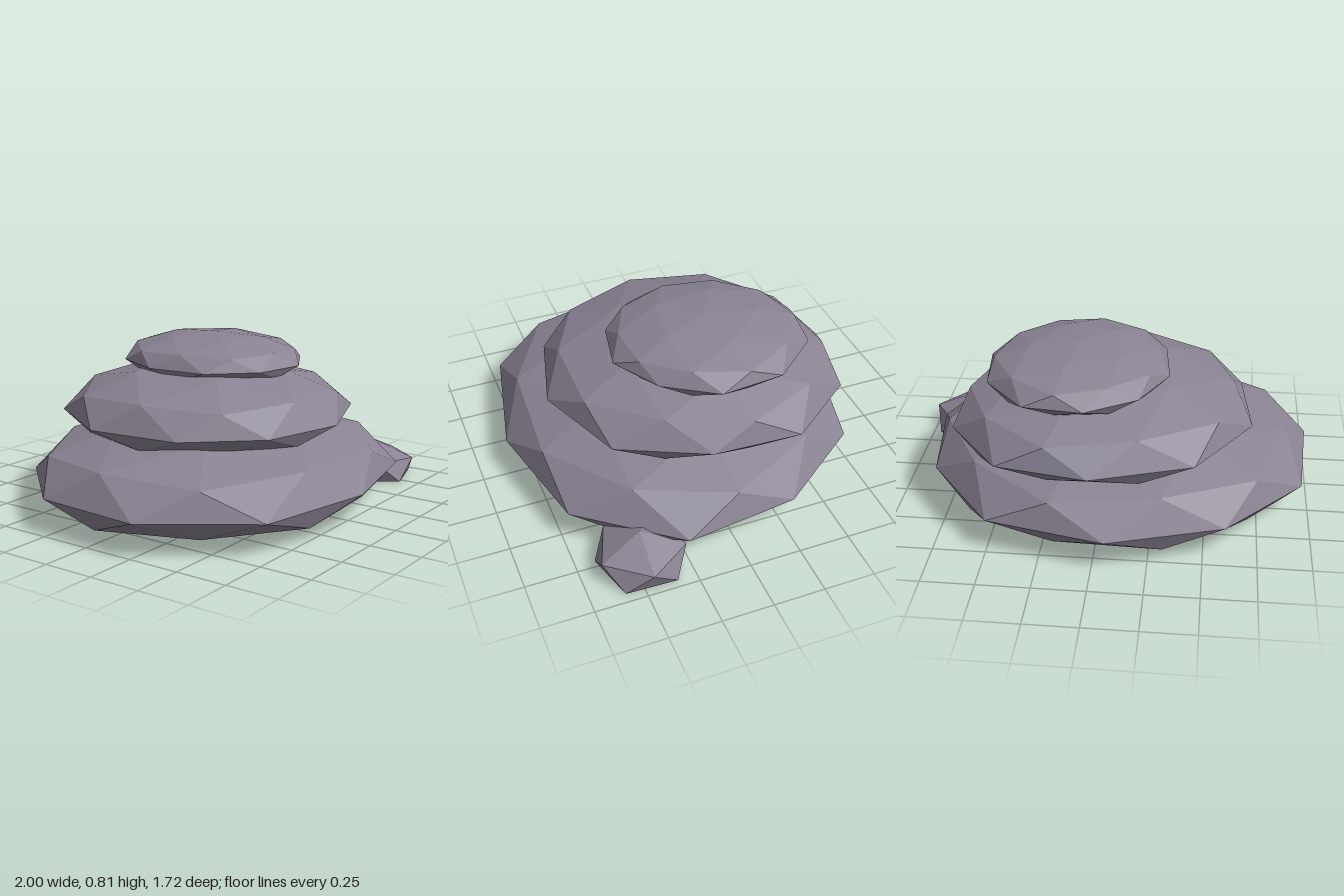
import * as THREE from 'three';

const stone = new THREE.MeshStandardMaterial({ color: 0x8a8393, flatShading: true });
stone.name = 'greyStone';

const V = (x, y, z) => new THREE.Vector3(x, y, z);

// Faceted mesh from a list of triangles
function facetMesh(name, triangles) {
  const geometry = new THREE.BufferGeometry().setFromPoints(triangles.flat());
  geometry.computeVertexNormals();
  const mesh = new THREE.Mesh(geometry, stone);
  mesh.name = name;
  return mesh;
}

// Flattened boulder: ten-point rim, two rings and a pole above, cut flat below
function slab(name, rim, rimY, height, bottomY) {
  const n = 10;
  const cx = rim.reduce((s, p) => s + p[0], 0) / n;
  const cz = rim.reduce((s, p) => s + p[1], 0) / n;
  // point on the spoke between rim points k-1 and k
  const spoke = (k, f, y) => {
    const a = rim[(k + n - 1) % n], b = rim[k % n];
    return V(cx + ((a[0] + b[0]) / 2 - cx) * f, y, cz + ((a[1] + b[1]) / 2 - cz) * f);
  };
  const eq = rim.map(([x, z]) => V(x, rimY, z));
  const up = rim.map((_, k) => spoke(k, k % 2 ? 0.9 : 0.945, rimY + height * (k % 2 ? 0.526 : 0.447)));
  const low = rim.map((_, k) => spoke(k, k % 2 ? 0.945 : 0.9, bottomY));
  const inner = [0, 1, 2, 3, 4].map(j => spoke(2 * j, 0.555, rimY + height * 0.85));
  const pole = V(cx, rimY + height, cz), base = V(cx, bottomY, cz);
  const tris = [];
  for (let j = 0; j < 5; j++) {
    const i = inner[j], next = inner[(j + 1) % 5], k = 2 * j;
    tris.push([pole, next, i], [i, next, up[k + 1]],
      [i, up[k + 1], up[k]], [i, up[k], up[(k + 9) % n]]);
  }
  for (let k = 0; k < n; k++) {
    const next = (k + 1) % n, prev = (k + 9) % n;
    tris.push([up[k], eq[k], eq[prev]], [up[k], up[next], eq[k]],
      [eq[prev], eq[k], low[k]], [eq[k], low[next], low[k]],
      [base, low[k], low[next]]);
  }
  return facetMesh(name, tris);
}

// Small five-sided pebble with a flat base
function pebble(name, cx, cz, r, ringY, topY) {
  const ring = (offset, y) => [0, 1, 2, 3, 4].map(i => {
    const a = (i * 72 + offset) * Math.PI / 180;
    return V(cx + r * Math.cos(a), y, cz + r * Math.sin(a));
  });
  const up = ring(2, ringY), low = ring(38, 0);
  const top = V(cx, topY, cz), base = V(cx, 0, cz);
  const tris = [];
  for (let i = 0; i < 5; i++) {
    const n = (i + 1) % 5, p = (i + 4) % 5;
    tris.push([top, up[n], up[i]], [up[i], up[n], low[i]],
      [up[i], low[i], low[p]], [base, low[i], low[n]]);
  }
  return facetMesh(name, tris);
}

export function createModel() {
  const group = new THREE.Group();
  group.name = 'stackedRocks';
  // Rims as [x, z], running from the +x side toward the front
  group.add(
    slab('bottomSlab', [[0.9, 0.26], [0.54, 0.72], [-0.06, 0.855], [-0.67, 0.73], [-1, 0.26],
      [-0.96, -0.29], [-0.6, -0.69], [-0.06, -0.86], [0.5, -0.73], [0.83, -0.29]], 0.16, 0.285, 0.058),
    slab('middleSlab', [[0.69, 0.06], [0.49, 0.48], [0.04, 0.655], [-0.38, 0.55], [-0.66, 0.24],
      [-0.71, -0.22], [-0.45, -0.63], [0.02, -0.79], [0.45, -0.71], [0.71, -0.37]], 0.44, 0.245, 0.367),
    slab('topSlab', [[0.57, -0.03], [0.41, 0.22], [0.17, 0.36], [-0.09, 0.31], [-0.28, 0.11],
      [-0.31, -0.19], [-0.18, -0.45], [0.06, -0.6], [0.34, -0.57], [0.54, -0.34]], 0.672, 0.135, 0.623),
    pebble('sidePebble', 0.787, 0.46, 0.21, 0.105, 0.19),
  );
  return group;
}
